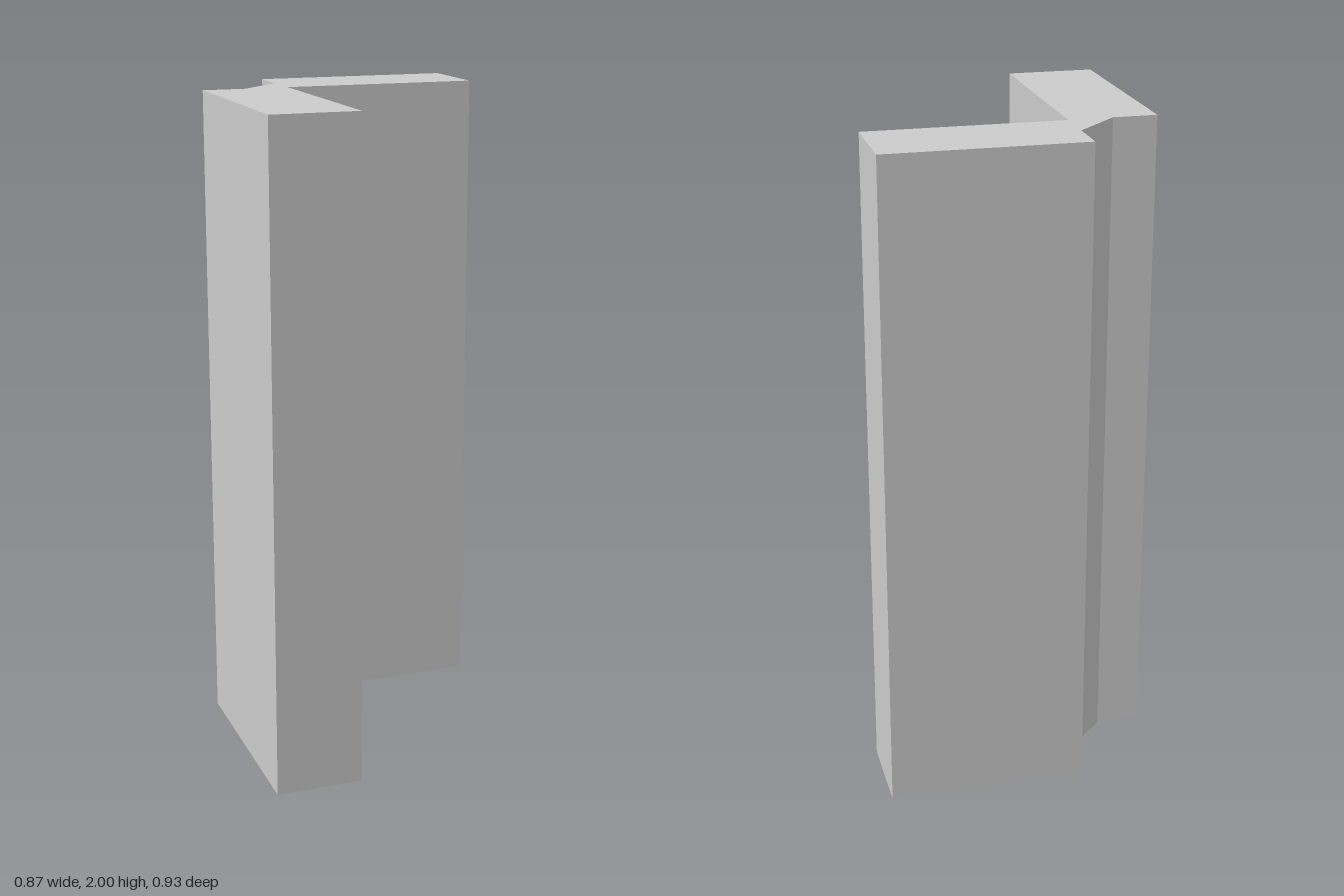
import * as THREE from 'three';

export function createModel() {
  const group = new THREE.Group();
  group.name = 'cornerPost';

  // L-shaped plan as [x, z], with a chamfered notch at the outer back corner
  const plan = [
    [-0.433, 0.467], [-0.167, 0.467], [-0.167, -0.202],
    [0.433, -0.202], [0.433, -0.467], [-0.167, -0.467],
    [-0.167, -0.333], [-0.3, -0.2], [-0.433, -0.2],
  ];
  const shape = new THREE.Shape(plan.map(([x, z]) => new THREE.Vector2(x, -z)));

  // Extrude the plan upward to full height
  const geometry = new THREE.ExtrudeGeometry(shape, { depth: 2, bevelEnabled: false });
  geometry.rotateX(-Math.PI / 2);

  const profile = new THREE.Mesh(
    geometry,
    new THREE.MeshStandardMaterial({ color: 0xcccccc, flatShading: true }),
  );
  profile.name = 'cornerProfile';
  group.add(profile);
  return group;
}
